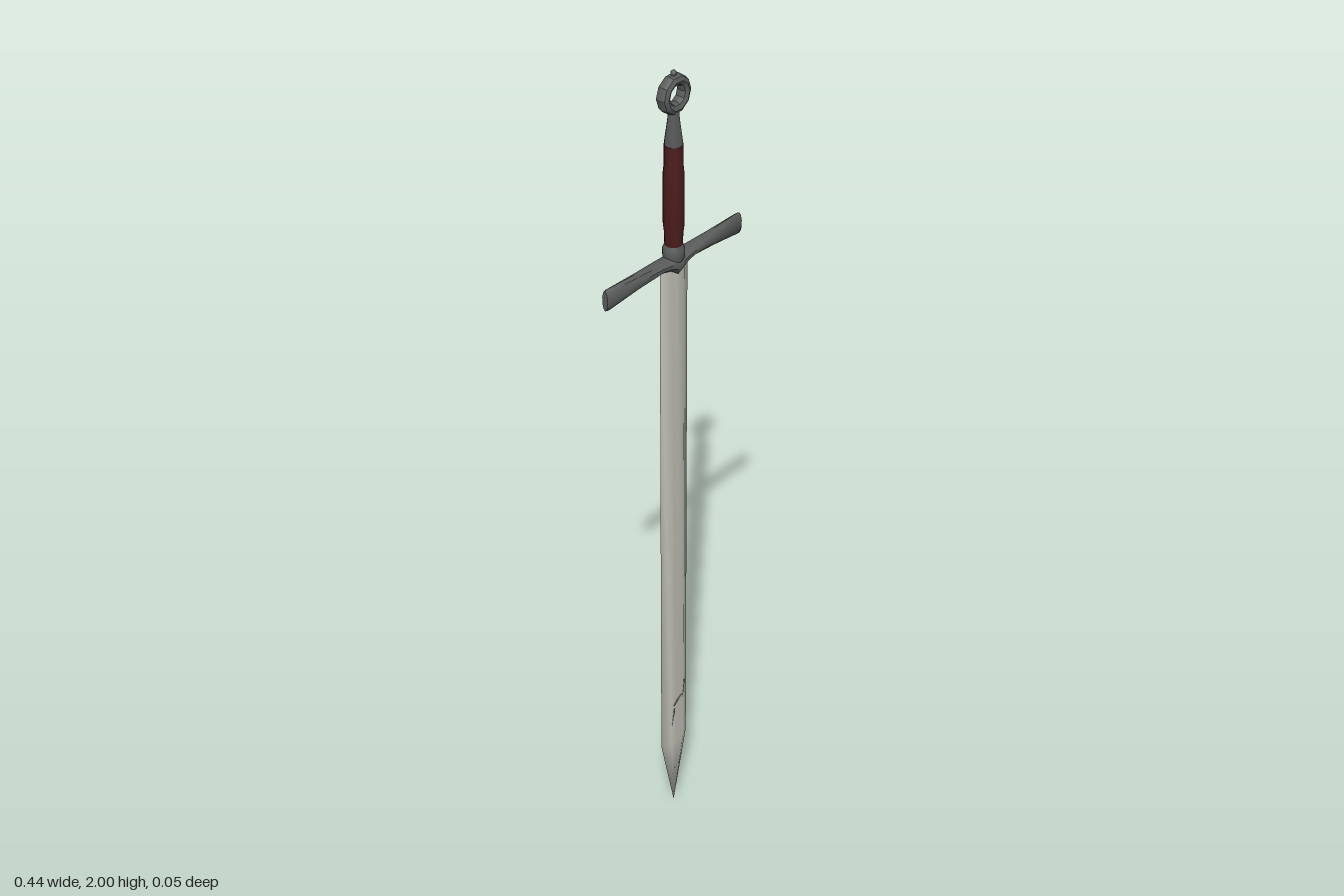
import * as THREE from 'three';
import { mergeVertices, toCreasedNormals } from 'three/addons/utils/BufferGeometryUtils.js';

// Skin a row of equal-length rings of [x, y, z] points, closing both ends
function loft(rings) {
  const n = rings[0].length, pos = [], index = [];
  rings.forEach(r => r.forEach(p => pos.push(...p)));
  for (let j = 0; j < rings.length - 1; j++) {
    for (let i = 0; i < n; i++) {
      const a = j * n + i, b = j * n + (i + 1) % n;
      index.push(a, b, a + n, b, b + n, a + n);
    }
  }
  const last = (rings.length - 1) * n;
  for (let i = 1; i < n - 1; i++) {
    index.push(0, i + 1, i, last, last + i, last + i + 1);
  }
  const g = new THREE.BufferGeometry();
  g.setAttribute('position', new THREE.Float32BufferAttribute(pos, 3));
  g.setIndex(index);
  return g;
}

function lathe(profile, sides) {
  const g = new THREE.LatheGeometry(profile.map(([r, y]) => new THREE.Vector2(r, y)), sides);
  return toCreasedNormals(g, 0.9);
}

export function createModel() {
  const model = new THREE.Group();
  model.name = 'sword';
  const material = (name, color) => new THREE.MeshStandardMaterial({ name, color });
  const steel = material('blade steel', 0xc2c2b9);
  const iron = material('dark iron', 0x5a5c5c);
  const leather = material('red leather', 0x4c1d1d);
  const scratchGrey = material('scratch grey', 0x85857e);
  const add = (name, geometry, mat) => {
    const mesh = new THREE.Mesh(geometry, mat);
    mesh.name = name;
    model.add(mesh);
    return mesh;
  };

  // Blade: shallow fuller down the middle, tapering to a point
  const section = [[0, 0.009], [0.021, 0.012], [0.045, 0], [0.021, -0.012],
    [0, -0.009], [-0.021, -0.012], [-0.045, 0], [-0.021, 0.012]];
  const bladeRings = [[0, 0], [0.2, 1], [1.55, 1]].map(([y, s]) =>
    section.map(([x, z]) => [x * s, y, z * s]));
  const blade = mergeVertices(loft(bladeRings));
  blade.computeVertexNormals();
  add('blade', blade, steel);

  // Fine scratches near the point
  [[-0.014, 0.28, 0.05, -0.2], [0.002, 0.325, 0.035, -0.9], [0.022, 0.35, 0.05, -0.15]]
    .forEach(([x, y, length, tilt]) => {
      const scratch = add('scratch', new THREE.BoxGeometry(0.003, length, 0.003), scratchGrey);
      scratch.position.set(x, y, 0.0105);
      scratch.rotation.z = tilt;
    });

  // Crossguard: flared arms and a downward point in the centre
  // [x, bottom, top, half depth]
  const half = [[0.025, 1.536, 1.566, 0.022], [0.05, 1.541, 1.567, 0.02],
    [0.12, 1.534, 1.57, 0.015], [0.212, 1.522, 1.575, 0.011], [0.218, 1.524, 1.573, 0.008]];
  const stations = [...half.map(([x, ...r]) => [-x, ...r]).reverse(),
    [0, 1.518, 1.566, 0.024], ...half];
  const guardRings = stations.map(([x, bottom, top, depth]) =>
    Array.from({ length: 10 }, (_, i) => {
      const a = (i / 10) * Math.PI * 2;
      return [x, (top + bottom) / 2 + Math.cos(a) * (top - bottom) / 2, Math.sin(a) * depth];
    }));
  add('crossguard', toCreasedNormals(loft(guardRings), 0.8), iron);

  // Collar, grip and neck
  add('collar', lathe([[0.02, 1.55], [0.025, 1.565], [0.025, 1.58], [0.02, 1.592], [0, 1.592]], 12), iron);
  add('grip', lathe([[0, 1.58], [0.02, 1.58], [0.021, 1.62], [0.0235, 1.64], [0.0235, 1.76],
    [0.021, 1.785], [0.021, 1.83], [0, 1.83]], 12), leather);
  add('neck', lathe([[0, 1.826], [0.02, 1.826], [0.02, 1.838], [0.013, 1.89], [0.012, 1.912], [0, 1.912]], 12), iron);

  // Ring pommel with a small peened knob on top
  const ringGeometry = new THREE.TorusGeometry(0.033, 0.0125, 8, 10);
  ringGeometry.scale(1, 1, 1.3);
  add('pommelRing', toCreasedNormals(ringGeometry, 0.6), iron).position.y = 1.946;
  add('pommelKnob', new THREE.SphereGeometry(0.007, 10, 8), iron).position.y = 1.993;

  return model;
}
